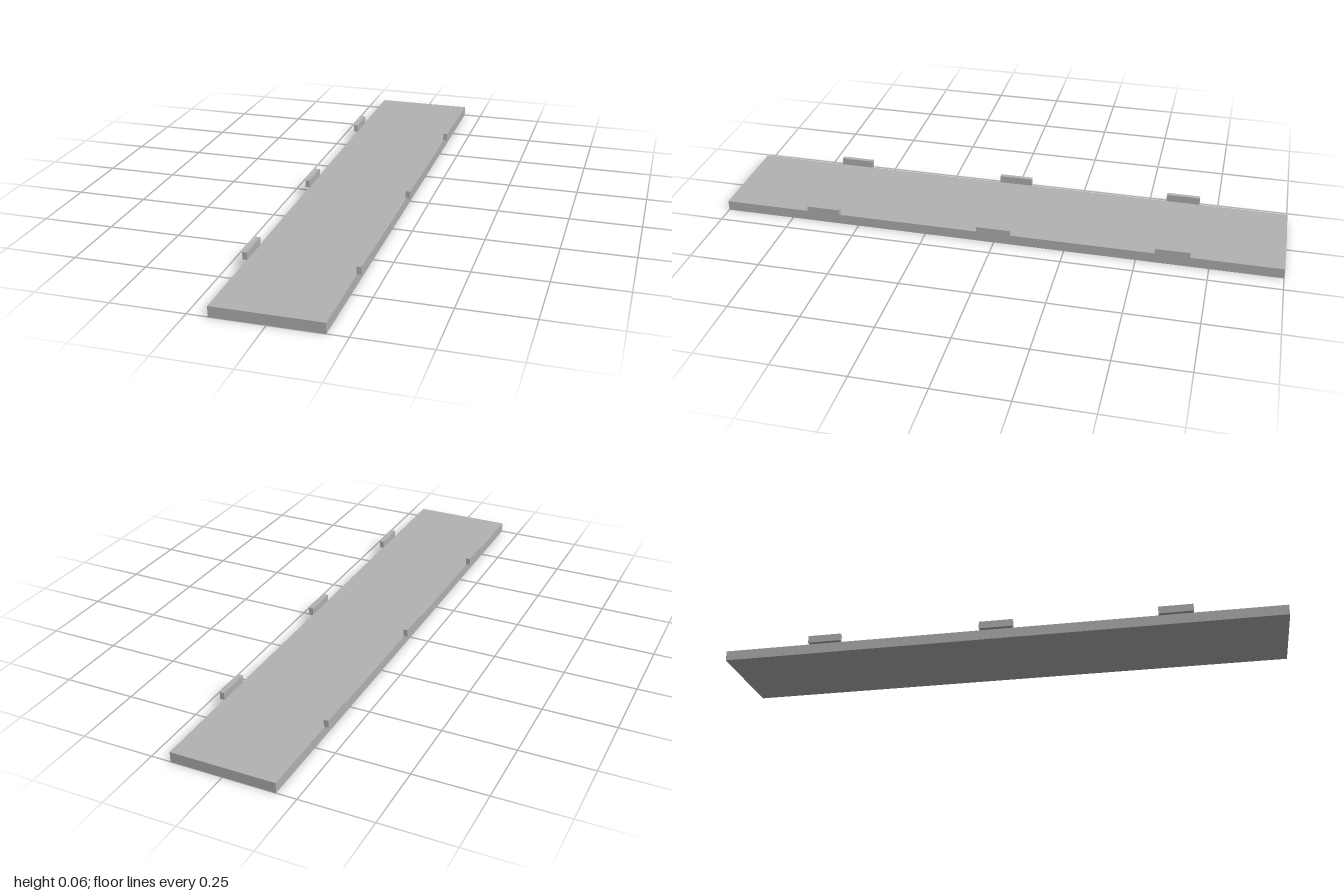
import * as THREE from 'three';

export function createModel() {
  const model = new THREE.Group();
  model.name = 'plank';
  const grey = new THREE.MeshStandardMaterial({ color: 0xb2b2b2 });
  grey.name = 'grey';

  function box(name, w, h, d, x, y, z) {
    const mesh = new THREE.Mesh(new THREE.BoxGeometry(w, h, d), grey);
    mesh.name = name;
    mesh.position.set(x, y + h / 2, z);
    model.add(mesh);
  }

  // Long flat board
  box('board', 0.363, 0.036, 2, 0, 0, 0);

  // Three small clips along each long edge, overhanging slightly
  for (const [side, x] of [['left', 0.187], ['right', -0.187]]) {
    [-0.625, 0, 0.625].forEach((z, i) => {
      box(`${side}Clip${i + 1}`, 0.016, 0.026, 0.12, x, 0.037, z);
    });
  }
  return model;
}
